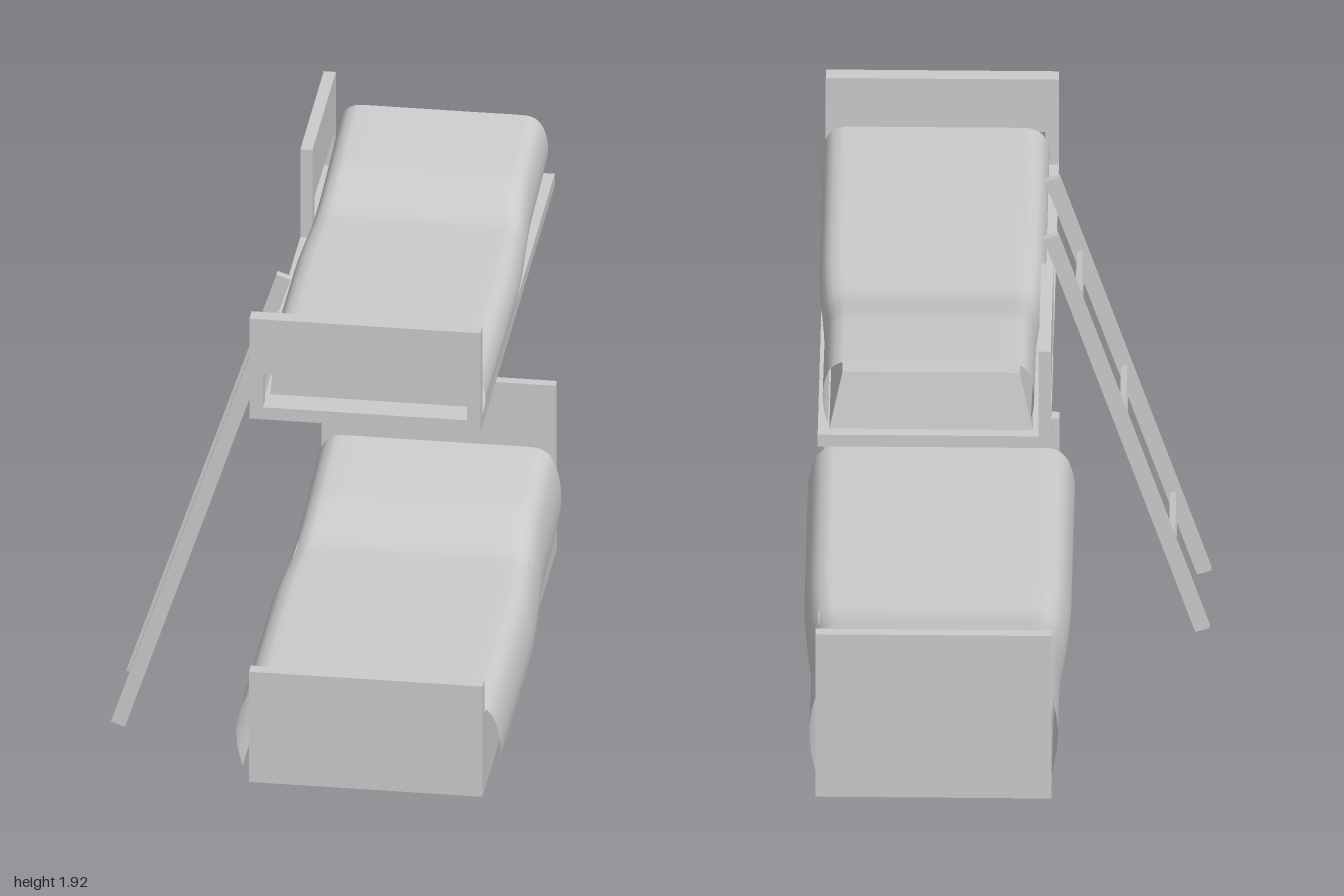
import * as THREE from 'three';

const { clamp, lerp, smoothstep } = THREE.MathUtils;
const material = new THREE.MeshStandardMaterial({ color: 0xcccccc });
const clothMaterial = new THREE.MeshStandardMaterial({ color: 0xcccccc, side: THREE.DoubleSide });

function add(parent, name, geometry, mat = material) {
  const mesh = new THREE.Mesh(geometry, mat);
  mesh.name = name;
  parent.add(mesh);
  return mesh;
}

// Box given by its extents on each axis
function box(parent, name, [x0, x1], [y0, y1], [z0, z1]) {
  const mesh = add(parent, name, new THREE.BoxGeometry(x1 - x0, y1 - y0, z1 - z0));
  mesh.position.set((x0 + x1) / 2, (y0 + y1) / 2, (z0 + z1) / 2);
  return mesh;
}

// Linear lookup in a short list of [key, value] pairs, keys ascending
function lookup(table, t) {
  for (let i = 1; i < table.length; i++) {
    const [a, va] = table[i - 1], [b, vb] = table[i];
    if (t <= b) return lerp(va, vb, clamp((t - a) / (b - a), 0, 1));
  }
  return table[table.length - 1][1];
}

// Rise of the bedding over the pillow, by z
const pillowRise = z => lookup([[-0.93, 0.11], [-0.52, 0.066], [-0.3, 0.008], [-0.24, 0]], z);

// Draped blanket: open shell, half section as [width fraction, drop fraction]
const drape = new THREE.SplineCurve([
  [0, 0], [0.4, 0], [0.76, 0], [0.86, 0.03], [0.93, 0.12],
  [0.975, 0.28], [1, 0.5], [0.99, 0.75], [0.95, 1],
].map(p => new THREE.Vector2(...p)));

function blanketGeometry({ cx, footHalf, headHalf, top, bottom }) {
  const g = new THREE.PlaneGeometry(1, 1, 48, 60);
  const pos = g.attributes.position, uv = g.attributes.uv;
  for (let i = 0; i < pos.count; i++) {
    const s = uv.getX(i) * 2 - 1;
    const z = lerp(0.93, -0.93, uv.getY(i));
    const p = drape.getPoint(Math.abs(s));
    const toHead = clamp((0.1 - z) / 1.03, 0, 1) ** 2;
    const half = lerp(headHalf, footHalf, smoothstep(z, -0.55, 0.1));
    const yTop = top + pillowRise(z), yBottom = bottom + 0.055 * toHead;
    pos.setXYZ(i, cx + Math.sign(s) * p.x * half, lerp(yTop, yBottom, p.y), z - 0.035 * p.y * toHead);
  }
  g.computeVertexNormals();
  return g;
}

// Mattress: box with narrowed top, raised and slanted at the head
function mattressGeometry(cx, top) {
  const g = new THREE.BoxGeometry(2, 1, 1, 1, 1, 40);
  const pos = g.attributes.position;
  for (let i = 0; i < pos.count; i++) {
    const up = pos.getY(i) > 0;
    const v = 0.5 - pos.getZ(i);
    const z = lerp(0.92, up ? -0.945 : -0.98, v);
    const half = up ? 0.365 - pillowRise(z) * 0.35 : 0.375;
    pos.setXYZ(i, cx + pos.getX(i) * half, up ? top - 0.03 + pillowRise(z) : top - 0.145, z);
  }
  g.computeVertexNormals();
  return g;
}

// Upright panel with a slot along its lower part
function slottedPanel(width, height, depth) {
  const rect = (C, x0, y0, x1, y1) => {
    const c = new C();
    c.moveTo(x0, y0).lineTo(x1, y0).lineTo(x1, y1).lineTo(x0, y1).closePath();
    return c;
  };
  const shape = rect(THREE.Shape, 0, 0, width, height);
  shape.holes.push(rect(THREE.Path, 0.05, 0.05, width - 0.05, 0.19));
  return new THREE.ExtrudeGeometry(shape, { depth, bevelEnabled: false });
}

export function createModel() {
  const model = new THREE.Group();
  model.name = 'bunkBed';

  // Lower bed
  const lower = new THREE.Group();
  lower.name = 'lowerBed';
  model.add(lower);
  const wide = [-0.182, 0.688];
  box(lower, 'lowerBase', wide, [0, 0.32], [-0.96, 0.95]);
  box(lower, 'lowerHeadboard', wide, [0, 0.7], [-1, -0.96]);
  box(lower, 'lowerFootboard', wide, [0, 0.458], [0.95, 1]);
  add(lower, 'lowerMattress', mattressGeometry(0.253, 0.345));
  add(lower, 'lowerBlanket', blanketGeometry({
    cx: 0.253, footHalf: 0.492, headHalf: 0.458, top: 0.345, bottom: 0.03,
  }), clothMaterial);

  // Upper bed
  const upper = new THREE.Group();
  upper.name = 'upperBed';
  model.add(upper);
  box(upper, 'upperBase', [-0.18, 0.68], [1.51, 1.56], [-1, 0.94]);
  add(upper, 'upperFootboard', slottedPanel(0.86, 0.415, 0.06)).position.set(-0.18, 1.51, 0.94);
  const guard = add(upper, 'sideGuard', slottedPanel(0.63, 0.415, 0.045));
  guard.rotation.y = Math.PI / 2;
  guard.position.set(-0.18, 1.51, -0.37);
  add(upper, 'upperMattress', mattressGeometry(0.262, 1.72));
  add(upper, 'upperBlanket', blanketGeometry({
    cx: 0.272, footHalf: 0.417, headHalf: 0.39, top: 1.722, bottom: 1.53,
  }), clothMaterial);

  // Leaning ladder, built upright and tilted about its foot
  const ladder = new THREE.Group();
  ladder.name = 'ladder';
  const tilt = Math.atan2(0.56, 1.685);
  for (const z of [0.205, 0.615]) {
    box(ladder, 'ladderRail', [-0.028, 0.028], [0, 1.776], [z - 0.015, z + 0.015]);
  }
  for (const y of [0.352, 0.895, 1.387]) {
    const along = (y - 0.017) / Math.cos(tilt);
    box(ladder, 'ladderRung', [-0.012, 0.012], [along - 0.01, along + 0.01], [0.22, 0.6]);
  }
  ladder.rotation.z = -tilt;
  ladder.position.set(-0.721, 0.012, 0);
  model.add(ladder);

  return model;
}
